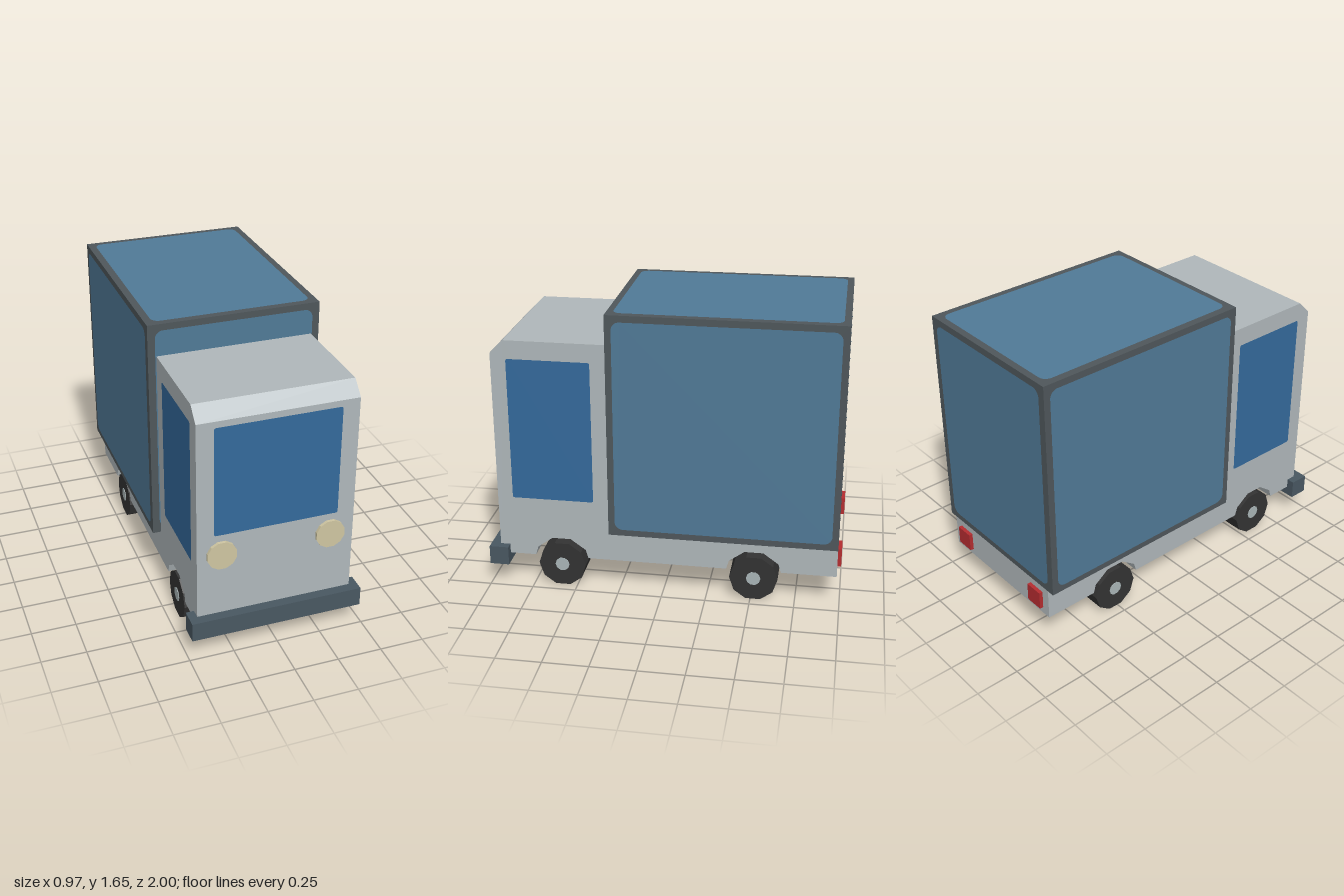
import * as THREE from 'three';

const mat = (name, color) => {
  const m = new THREE.MeshStandardMaterial({ color });
  m.name = name;
  return m;
};

export function createModel() {
  const truck = new THREE.Group();
  truck.name = 'boxTruck';

  const paint = mat('bodyGrey', 0xb0b8bb);
  const frame = mat('frameGrey', 0x4f575b);
  const panel = mat('panelBlue', 0x507a97);
  const glass = mat('windowBlue', 0x346a9c);
  const steel = mat('bumperSlate', 0x495862);
  const rubber = mat('tyreBlack', 0x333333);
  const hubGrey = mat('hubGrey', 0xaab6b8);
  const lamp = mat('headlightCream', 0xcfc6a2);
  const red = mat('tailLightRed', 0xb52d30);

  const add = (name, geo, material, x = 0, y = 0, z = 0) => {
    const mesh = new THREE.Mesh(geo, material);
    mesh.name = name;
    mesh.position.set(x, y, z);
    truck.add(mesh);
    return mesh;
  };

  // Box given by its limits on each axis
  const block = (name, material, [x0, x1], [y0, y1], [z0, z1]) =>
    add(name, new THREE.BoxGeometry(x1 - x0, y1 - y0, z1 - z0), material,
      (x0 + x1) / 2, (y0 + y1) / 2, (z0 + z1) / 2);

  // Faceted disc or drum
  const drum = (r, length, sides, turn = 0) => {
    const g = new THREE.CylinderGeometry(r, r, length, sides, 1, false, turn).toNonIndexed();
    g.computeVertexNormals();
    return g;
  };

  // Flat plate with rounded corners, facing +z before it is turned
  const plate = (name, material, w, h, r, pos, rx = 0, ry = 0) => {
    const s = new THREE.Shape();
    const a = w / 2, b = h / 2;
    s.moveTo(-a + r, -b);
    s.lineTo(a - r, -b).absarc(a - r, -b + r, r, -Math.PI / 2, 0);
    s.lineTo(a, b - r).absarc(a - r, b - r, r, 0, Math.PI / 2);
    s.lineTo(-a + r, b).absarc(-a + r, b - r, r, Math.PI / 2, Math.PI);
    s.lineTo(-a, -b + r).absarc(-a + r, -b + r, r, Math.PI, Math.PI * 1.5);
    const mesh = add(name, new THREE.ShapeGeometry(s, 5), material, ...pos);
    mesh.rotation.set(rx, ry, 0);
    return mesh;
  };

  const axles = [-0.515, 0.585];
  const axleY = 0.13;

  // Cab and chassis: side profile with open wheel arches
  const side = new THREE.Shape();
  side.moveTo(-0.98, 0.18);
  for (const z of axles) {
    side.lineTo(z - 0.154, 0.18);
    for (const deg of [144, 108, 72, 36]) {
      const t = THREE.MathUtils.degToRad(deg);
      side.lineTo(z + 0.172 * Math.cos(t), axleY + 0.172 * Math.sin(t));
    }
    side.lineTo(z + 0.154, 0.18);
  }
  side.lineTo(0.945, 0.18);
  side.lineTo(0.945, 1.39);
  side.lineTo(0.87, 1.465);
  side.lineTo(0.2, 1.465);
  side.lineTo(0.2, 0.5);
  side.lineTo(-0.98, 0.5);
  side.closePath();
  const bodyGeo = new THREE.ExtrudeGeometry(side, { depth: 0.876, bevelEnabled: false });
  bodyGeo.translate(0, 0, -0.438).rotateY(-Math.PI / 2);
  // Lift the rear edge of the chassis clear of the cargo box wall
  const p = bodyGeo.attributes.position;
  for (let i = 0; i < p.count; i++) if (p.getZ(i) < -0.97) p.setZ(i, -0.979);
  add('cabAndChassis', bodyGeo, paint);

  // Cargo box and its inset panels
  block('cargoFrame', frame, [-0.484, 0.484], [0.365, 1.645], [-0.98, 0.3]);
  const e = 0.002, midY = 1.005, midZ = -0.34, size = 1.207;
  for (const s of [-1, 1]) {
    plate('cargoSidePanel', panel, size, size, 0.045, [s * (0.484 + e), midY, midZ], 0, s * Math.PI / 2);
  }
  plate('cargoFrontPanel', panel, 0.888, size, 0.045, [0, midY, 0.3 + e]);
  plate('cargoRearPanel', panel, 0.888, size, 0.045, [0, midY, -0.98 - e], 0, Math.PI);
  plate('cargoRoofPanel', panel, 0.888, size, 0.045, [0, 1.645 + e, midZ], -Math.PI / 2);

  // Windows
  plate('windshield', glass, 0.688, 0.63, 0.012, [0, 1.04, 0.945 + e]);
  for (const s of [-1, 1]) {
    plate('sideWindow', glass, 0.464, 0.825, 0.012, [s * (0.438 + e), 0.948, 0.626], 0, s * Math.PI / 2);
  }

  // Bumper
  block('frontBumper', steel, [-0.484, 0.484], [0.125, 0.235], [0.89, 1]);

  // Headlights and tail lights
  for (const s of [-1, 1]) {
    const light = drum(0.083, 0.02, 12, Math.PI / 12).rotateX(Math.PI / 2);
    add('headlight', light, lamp, s * 0.304, 0.605, 0.952);
    const x = s * 0.333;
    block('tailLight', red, [x - 0.054, x + 0.054], [0.22, 0.326], [-1, -0.97]);
  }

  // Full-width rollers as wheels, with a hub at each end
  for (const z of axles) {
    add('wheel', drum(0.1365, 0.874, 10).rotateZ(Math.PI / 2), rubber, 0, axleY, z);
    for (const s of [-1, 1]) {
      add('hub', drum(0.041, 0.006, 10).rotateZ(Math.PI / 2), hubGrey, s * 0.437, axleY, z);
    }
  }

  return truck;
}
